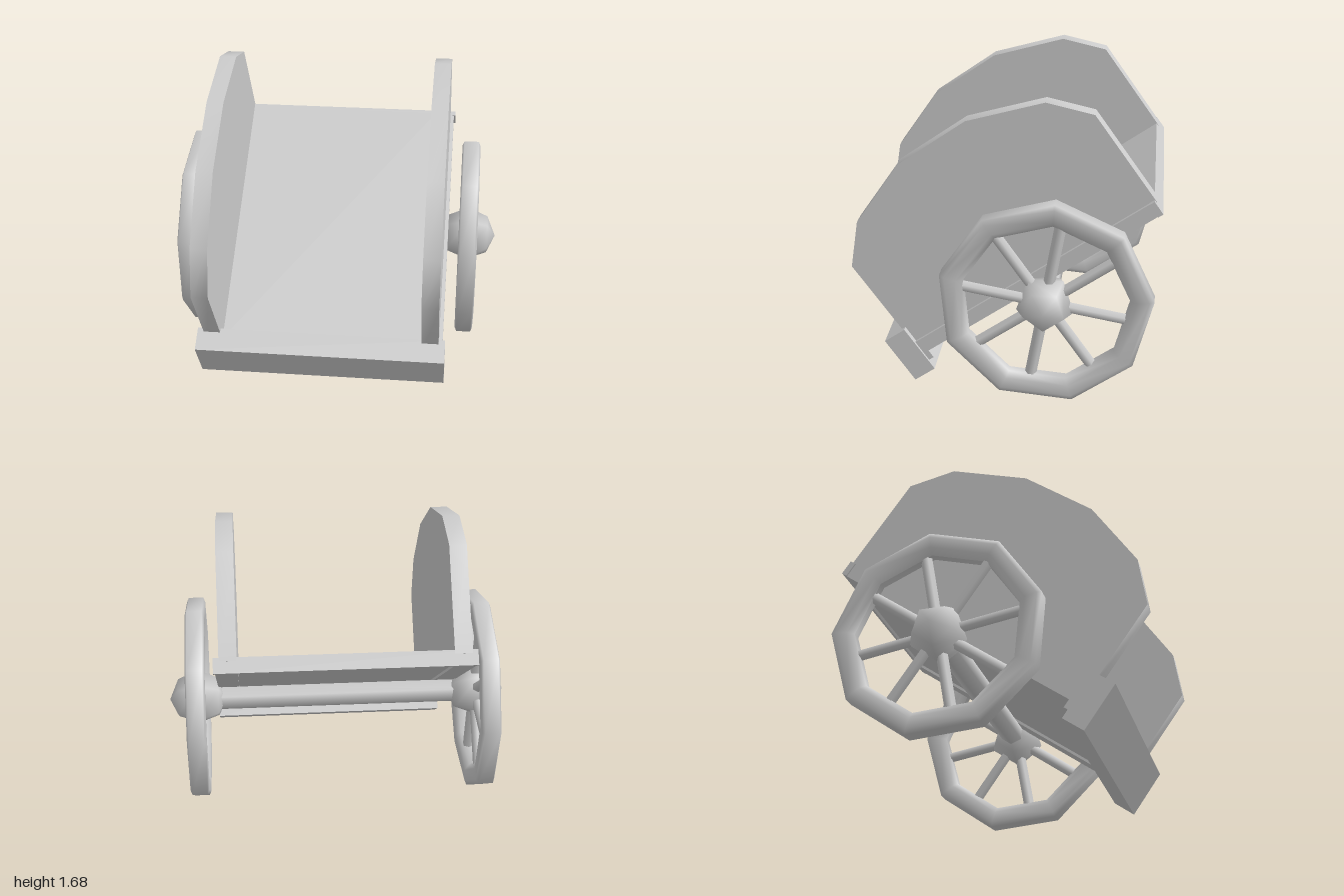
import * as THREE from 'three';
import { toCreasedNormals } from 'three/addons/utils/BufferGeometryUtils.js';

const material = new THREE.MeshStandardMaterial({ color: 0xcccccc, side: THREE.DoubleSide });

function part(name, geometry, x = 0, y = 0, z = 0) {
  const mesh = new THREE.Mesh(geometry, material);
  mesh.name = name;
  mesh.position.set(x, y, z);
  return mesh;
}

// Box given by its extents in the cart's own frame
function box(name, x0, x1, y0, y1, z0, z1) {
  return part(name, new THREE.BoxGeometry(x1 - x0, y1 - y0, z1 - z0),
    (x0 + x1) / 2, (y0 + y1) / 2, (z0 + z1) / 2);
}

// Arched side wall, outline in (forward, up)
function wallGeometry(thickness) {
  const outline = [[0.03, 0], [0.035, 0.585], [0.215, 0.783], [0.63, 0.93],
    [1.08, 0.93], [1.475, 0.783], [1.665, 0.585], [1.66, 0]];
  const shape = new THREE.Shape(outline.map(([f, u]) => new THREE.Vector2(f, u)));
  const geometry = new THREE.ExtrudeGeometry(shape, { depth: thickness, bevelEnabled: false });
  geometry.translate(0, 0, -thickness / 2).rotateY(-Math.PI / 2);
  return toCreasedNormals(geometry, 0.9);
}

// Nine-sided rim with chamfered section, one corner pointing up, axis along x
function rimGeometry() {
  const section = [[0.464, -0.025], [0.5, -0.053], [0.565, -0.053], [0.592, -0.042],
    [0.592, 0.042], [0.565, 0.053], [0.5, 0.053], [0.464, 0.025], [0.464, -0.025]];
  const geometry = new THREE.LatheGeometry(section.map(([r, h]) => new THREE.Vector2(r, h)), 9);
  return geometry.rotateZ(-Math.PI / 2).rotateX(-Math.PI / 2);
}

// Rim, eight spokes and a five-sided hub
function wheel(name) {
  const group = new THREE.Group();
  group.name = name;
  group.add(part('rim', rimGeometry()));
  group.add(part('hub', new THREE.SphereGeometry(0.165, 5, 4).rotateZ(-Math.PI / 2)));
  for (let i = 0; i < 8; i++) {
    const spoke = new THREE.CylinderGeometry(0.032, 0.032, 0.51, 6).translate(0, 0.255, 0);
    group.add(part('spoke', spoke.rotateX(i * Math.PI / 4)));
  }
  return group;
}

export function createModel() {
  const model = new THREE.Group();
  model.name = 'twoWheeledCart';

  // Cart frame: z runs forward from the back bar, y is up from the bed
  const cart = new THREE.Group();
  cart.name = 'cart';
  cart.rotation.set(THREE.MathUtils.degToRad(35), THREE.MathUtils.degToRad(-14.04), 0, 'YXZ');
  cart.position.set(0.143, 1.16, -0.81);
  model.add(cart);

  // Bed and end bars, flush on top at the back
  cart.add(box('floor', -0.58, 0.58, -0.05, 0.02, 0.05, 1.66));
  cart.add(box('backBar', -0.7, 0.7, -0.065, 0.02, 0.033, 0.065));
  cart.add(box('frontBar', -0.705, 0.705, -0.172, 0.12, 1.637, 1.775));
  cart.add(box('frontLip', -0.69, 0.69, -0.115, 0, 1.605, 1.64));

  // Axle below the bed
  cart.add(part('axle', new THREE.CylinderGeometry(0.07, 0.07, 1.6, 6).rotateZ(Math.PI / 2),
    0, -0.125, 0.83));

  // Mirrored rails, walls and wheels
  for (const [side, s] of [['left', 1], ['right', -1]]) {
    cart.add(box(side + 'Rail', s * 0.63 - 0.06, s * 0.63 + 0.06, -0.065, 0.018, 0.06, 1.65));
    cart.add(part(side + 'Wall', wallGeometry(0.095), s * 0.622));
    const w = wheel(side + 'Wheel');
    w.position.set(s * 0.806, -0.122, 0.826);
    cart.add(w);
  }
  return model;
}
